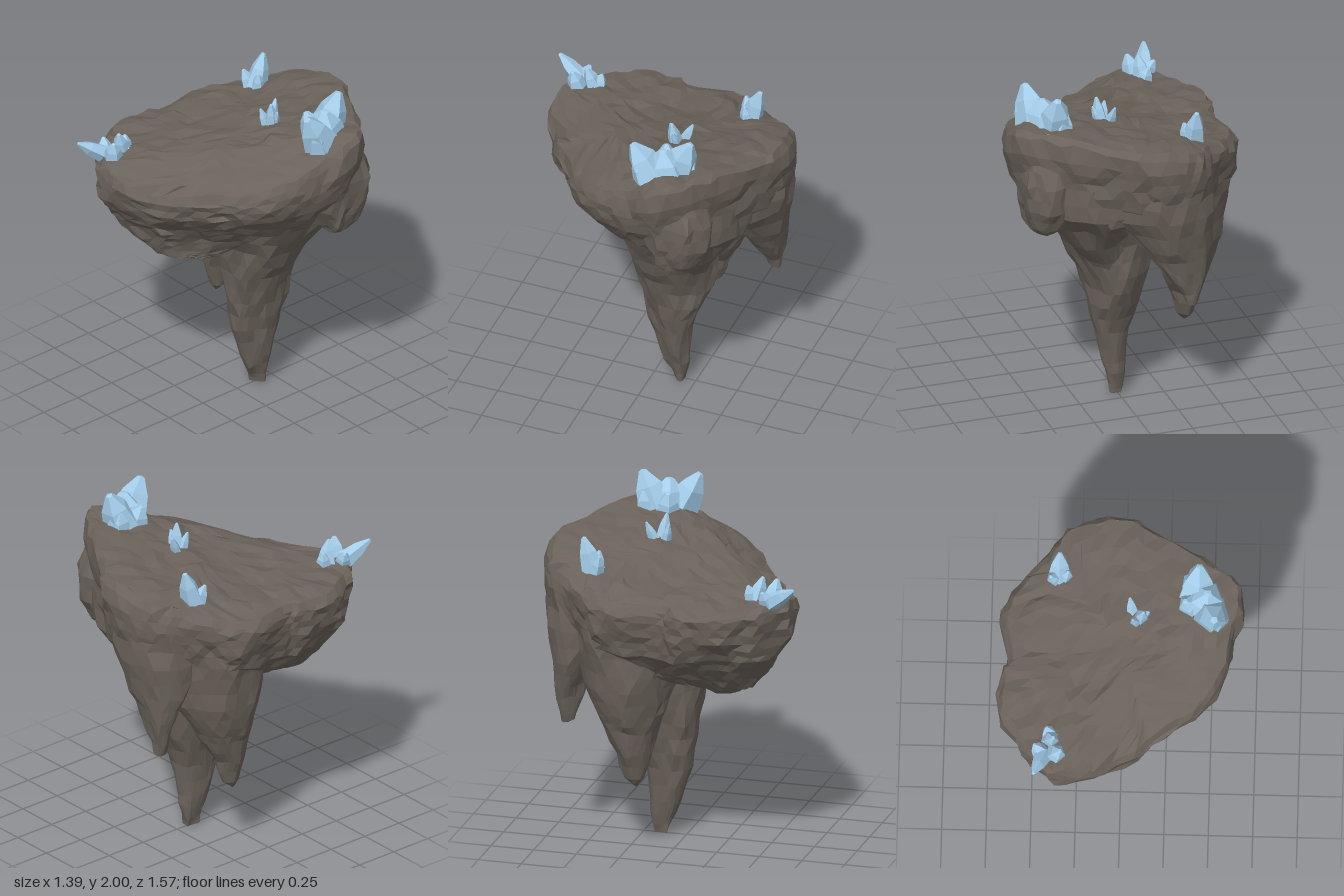
import * as THREE from 'three';

// Repeatable hash and smooth value noise in -1..1
const hash = (x, y, z) => {
  const s = Math.sin(x * 127.1 + y * 311.7 + z * 74.7) * 43758.5453;
  return (s - Math.floor(s)) * 2 - 1;
};
function noise(x, y, z) {
  const i = [x, y, z].map(Math.floor);
  const [u, v, w] = [x - i[0], y - i[1], z - i[2]].map(t => t * t * (3 - 2 * t));
  let sum = 0;
  for (let k = 0; k < 8; k++) {
    const a = k & 1, b = (k >> 1) & 1, c = k >> 2;
    sum += hash(i[0] + a, i[1] + b, i[2] + c) * (a ? u : 1 - u) * (b ? v : 1 - v) * (c ? w : 1 - w);
  }
  return sum;
}

// Push a point about; the stretch along y makes upright ridges on the flanks
function roughen(p, amp) {
  const big = k => noise(p.x * 6 + k, p.y * 2.5, p.z * 6 - k);
  const fine = k => noise(p.x * 19 + k, p.y * 8, p.z * 19 + k);
  const d = [0, 19, 43].map(k => amp * (big(k) + fine(k)));
  return p.set(p.x + d[0], p.y + d[1] * 0.7, p.z + d[2]);
}

// Closed rings of points joined from top to bottom
function loft(segments, rows, pointAt, amp) {
  const pos = [], index = [];
  for (let i = 0; i < rows; i++)
    for (let j = 0; j < segments; j++) {
      const shift = i % 2 ? 0.5 : 0;
      pos.push(...roughen(pointAt((j + shift) / segments, i), amp).toArray());
      if (i === rows - 1) continue;
      const a = i * segments + j, b = i * segments + (j + 1) % segments;
      const c = a + segments, d = b + segments;
      if (i % 2) index.push(a, b, d, a, d, c);
      else index.push(a, b, c, b, d, c);
    }
  const g = new THREE.BufferGeometry();
  g.setAttribute('position', new THREE.Float32BufferAttribute(pos, 3));
  g.setIndex(index);
  g.computeVertexNormals();
  return g;
}

// Split each step between the given rings into n smaller ones
function refine(rings, n) {
  const out = [];
  for (let i = 0; i < rings.length - 1; i++)
    for (let k = 0; k < n; k++)
      out.push(rings[i].map((v, c) => v + (rings[i + 1][c] - v) * k / n));
  return [...out, rings[rings.length - 1]];
}

// Plan outline of the plateau (x, z)
const outline = new THREE.CatmullRomCurve3([
  [0.64, 0], [0.58, 0.15], [0.42, 0.34], [0.2, 0.46], [0.05, 0.6], [-0.2, 0.71], [-0.35, 0.72],
  [-0.5, 0.63], [-0.61, 0.47], [-0.69, 0.3], [-0.69, 0.12], [-0.65, 0], [-0.68, -0.2], [-0.62, -0.36],
  [-0.5, -0.51], [-0.4, -0.61], [-0.31, -0.71], [-0.18, -0.77], [0, -0.76], [0.15, -0.69], [0.35, -0.59],
  [0.55, -0.47], [0.68, -0.32], [0.64, -0.15],
].map(([x, z]) => new THREE.Vector3(x, 0, z)), true);

// Ground: flat at the front left, rising to the back right, falling at the front right
const ground = (x, z) => 1.61 + Math.max(0, 0.2 * x - 0.13 * z + 0.08) - 0.3 * Math.max(0, x + z - 0.3);

export function createModel() {
  const model = new THREE.Group();
  const rock = new THREE.MeshStandardMaterial({ color: 0x6a625a, flatShading: true, side: THREE.DoubleSide });
  const ice = new THREE.MeshStandardMaterial({ color: 0xa4cdea, flatShading: true });
  const add = (name, geometry, material, parent = model) => {
    const mesh = new THREE.Mesh(geometry, material);
    mesh.name = name;
    parent.add(mesh);
    return mesh;
  };

  // Ground: a square grid wrapped onto the outline
  const top = new THREE.PlaneGeometry(2, 2, 18, 18).rotateX(-Math.PI / 2);
  const grid = top.attributes.position;
  for (let i = 0; i < grid.count; i++) {
    const a = grid.getX(i), b = grid.getZ(i);
    const r = Math.max(Math.abs(a), Math.abs(b));
    const p = outline.getPoint((Math.atan2(b, a) / (Math.PI * 2) + 1) % 1).multiplyScalar(r * 0.95);
    p.y = ground(p.x, p.z) - 0.03 * r ** 8;
    grid.setXYZ(i, ...roughen(p, 0.022).toArray());
  }
  top.computeVertexNormals();
  add('ground', top, rock);

  // Flank: rim rings [scale, drop] tucked under the ground, then rings [y, cx, cz, scaleX, scaleZ]
  const rim = [[0.85, 0.04], [0.94, 0.03], [0.985, 0.07]];
  const flank = refine([
    [1.52, 0, 0, 1, 1], [1.38, -0.015, 0, 0.96, 0.97], [1.25, -0.06, -0.02, 0.83, 0.89],
    [1.13, -0.1, 0.02, 0.6, 0.73], [1.03, -0.13, 0.15, 0.4, 0.46], [0.98, -0.12, 0.28, 0.22, 0.2], [0.97, -0.12, 0.3, 0, 0],
  ], 3);
  add('flank', loft(56, rim.length + flank.length, (u, i) => {
    const p = outline.getPoint(u);
    if (i < rim.length) {
      const [s, drop] = rim[i];
      p.multiplyScalar(s);
      p.y = ground(p.x, p.z) - drop;
      return p;
    }
    const [y, cx, cz, sx, sz] = flank[i - rim.length];
    // upper flank follows the slope of the ground
    const tilt = THREE.MathUtils.clamp((y - 1.2) * 2, 0, 0.65) * (ground(p.x, p.z) - 1.61);
    return p.set(cx + p.x * sx, y + tilt, cz + p.z * sz);
  }, 0.026), rock);

  // Hanging spurs: rings [y, cx, cz, radiusX, radiusZ]
  const spurs = {
    mainSpur: [
      [1.4, 0.13, -0.13, 0.42, 0.4], [1.2, 0.1, -0.13, 0.32, 0.33], [1, 0.06, -0.14, 0.255, 0.255],
      [0.8, 0.025, -0.14, 0.205, 0.235], [0.6, 0.02, -0.135, 0.15, 0.19], [0.4, 0.005, -0.11, 0.105, 0.13],
      [0.2, 0, -0.13, 0.07, 0.085], [0.05, -0.005, -0.15, 0.04, 0.055], [-0.005, -0.005, -0.15, 0.03, 0.045], [-0.015, -0.005, -0.15, 0, 0],
    ],
    mainSpurFlank: [
      [1.5, 0.24, -0.36, 0.28, 0.24], [1.3, 0.22, -0.35, 0.27, 0.25], [1.05, 0.13, -0.24, 0.2, 0.19],
      [0.8, 0.06, -0.19, 0.12, 0.15], [0.65, 0.04, -0.16, 0, 0],
    ],
    leftSpur: [
      [1.35, -0.31, -0.25, 0.29, 0.32], [1.2, -0.31, -0.25, 0.28, 0.3], [1, -0.335, -0.24, 0.235, 0.26],
      [0.85, -0.36, -0.23, 0.175, 0.19], [0.75, -0.365, -0.22, 0.13, 0.15], [0.6, -0.385, -0.2, 0.08, 0.095],
      [0.45, -0.4, -0.2, 0.04, 0.045], [0.4, -0.4, -0.2, 0, 0],
    ],
    backSpur: [
      [1.5, -0.12, -0.5, 0.3, 0.25], [1.3, -0.15, -0.53, 0.29, 0.23], [1.1, -0.21, -0.57, 0.2, 0.15],
      [0.95, -0.25, -0.6, 0.12, 0.09], [0.8, -0.28, -0.6, 0.06, 0.055], [0.73, -0.28, -0.6, 0.035, 0.04], [0.71, -0.28, -0.6, 0, 0],
    ],
    sideLobe: [
      [1.68, 0.47, -0.29, 0.15, 0.18], [1.5, 0.48, -0.32, 0.17, 0.21], [1.35, 0.47, -0.33, 0.16, 0.2],
      [1.23, 0.48, -0.33, 0.12, 0.15], [1.17, 0.5, -0.33, 0.07, 0.09], [1.15, 0.51, -0.33, 0, 0],
    ],
  };
  for (const [name, rings] of Object.entries(spurs)) {
    const fineRings = refine(rings, 2);
    add(name, loft(22, fineRings.length, (u, i) => {
      const [y, cx, cz, rx, rz] = fineRings[i], a = u * Math.PI * 2;
      return new THREE.Vector3(cx + Math.cos(a) * rx, y, cz + Math.sin(a) * rz);
    }, 0.021), rock);
  }

  // Crystal clusters: shards [baseX, baseZ, tipX, tipY, tipZ, radius]
  const clusters = {
    largeCrystals: [
      [0.5, -0.18, 0.52, 1.98, -0.07, 0.11], [0.42, -0.3, 0.43, 2.0, -0.39, 0.11], [0.46, -0.25, 0.48, 1.95, -0.24, 0.13],
      [0.39, -0.23, 0.35, 1.9, -0.21, 0.08], [0.53, -0.15, 0.56, 1.91, -0.11, 0.07], [0.4, -0.34, 0.37, 1.9, -0.36, 0.08],
    ],
    backCrystals: [
      [-0.36, -0.44, -0.36, 1.85, -0.5, 0.07], [-0.38, -0.42, -0.41, 1.76, -0.39, 0.05], [-0.33, -0.43, -0.31, 1.76, -0.42, 0.045],
    ],
    smallCrystals: [
      [0.1, -0.17, 0.12, 1.865, -0.15, 0.045], [0.06, -0.2, 0.04, 1.83, -0.25, 0.035], [0.08, -0.15, 0.06, 1.82, -0.12, 0.035],
      [0.11, -0.18, 0.15, 1.82, -0.17, 0.03],
    ],
    frontCrystals: [
      [-0.43, 0.62, -0.48, 1.69, 0.77, 0.055], [-0.39, 0.52, -0.37, 1.72, 0.56, 0.055], [-0.36, 0.61, -0.33, 1.7, 0.63, 0.06],
      [-0.44, 0.6, -0.48, 1.66, 0.58, 0.05], [-0.39, 0.5, -0.41, 1.67, 0.48, 0.05],
    ],
  };
  const up = new THREE.Vector3(0, 1, 0);
  for (const [name, shards] of Object.entries(clusters)) {
    const group = new THREE.Group();
    group.name = name;
    model.add(group);
    shards.forEach(([bx, bz, tx, ty, tz, r], k) => {
      const base = new THREE.Vector3(bx, ground(bx, bz) - 0.02, bz);
      const dir = new THREE.Vector3(tx, ty, tz).sub(base), h = dir.length();
      // faceted shard: broad foot, narrower shoulder, blunt point
      const g = new THREE.LatheGeometry(
        [[0, 0], [r, 0], [r * 0.72, h * 0.55], [r * 0.2, h * 0.97], [0, h]].map(p => new THREE.Vector2(...p)), 5);
      g.rotateY(k * 1.3);
      const shard = add('crystal', g, ice, group);
      shard.quaternion.setFromUnitVectors(up, dir.normalize());
      shard.position.copy(base);
    });
  }
  return model;
}
